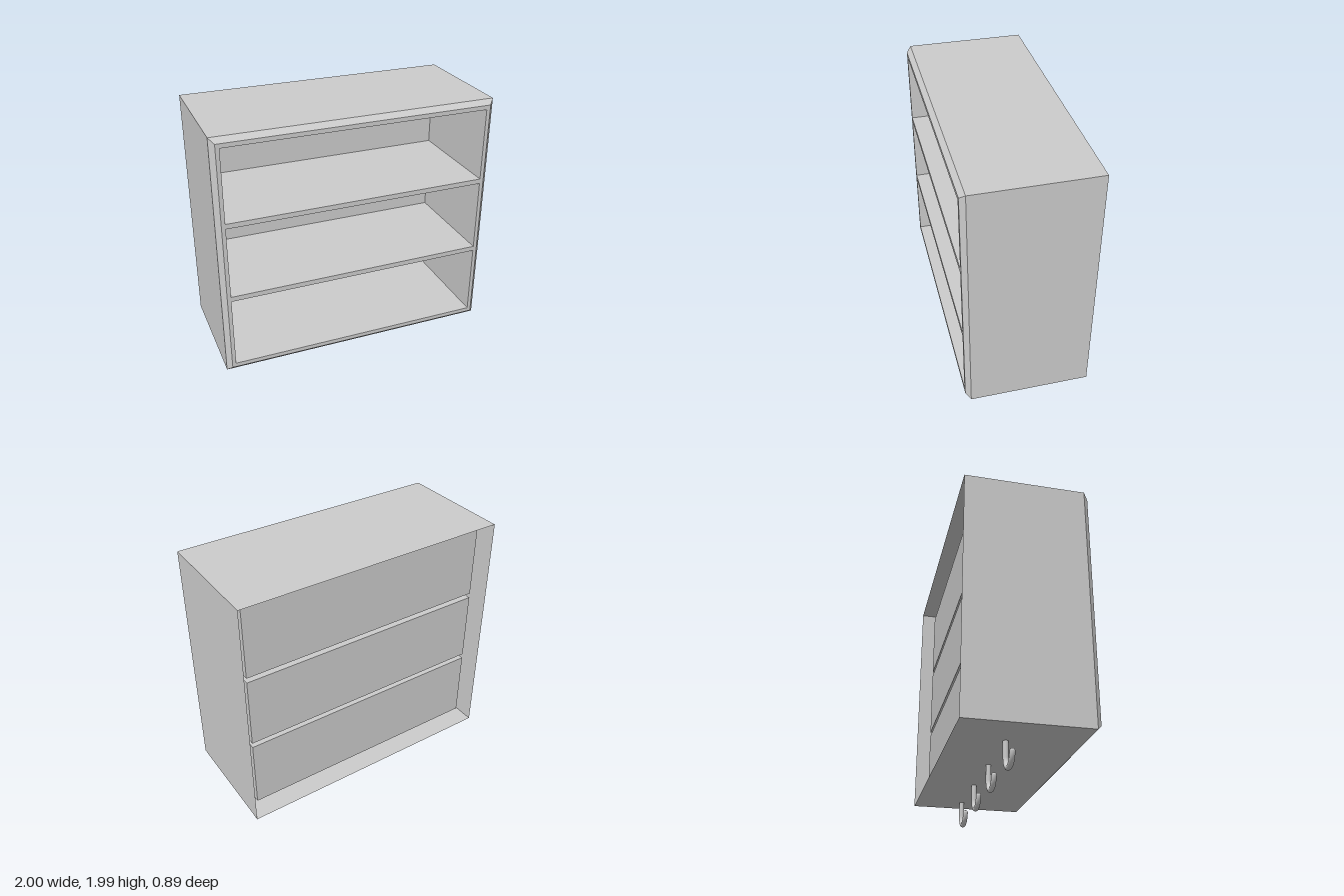
import * as THREE from 'three';

const grey = new THREE.MeshStandardMaterial({ color: 0xcccccc });
const thin = new THREE.MeshStandardMaterial({ color: 0xcccccc, side: THREE.DoubleSide });

const Y0 = 0.215, Y1 = 1.99;        // cabinet bottom and top
const BACK = -0.445, FRONT = 0.445; // cabinet depth
const BEVEL = 0.035;
const BAYS = [0.28, 0.84, 1.4];     // bottom of each compartment
const BAY_W = 0.938, BAY_H = 0.524, BAY_BACK = -0.345;

function add(parent, name, geometry, material) {
  const mesh = new THREE.Mesh(geometry, material);
  mesh.name = name;
  parent.add(mesh);
  return mesh;
}

// corners of a rectangular section, counter-clockwise from the front
function section(inset, z) {
  const x = 1 - inset, a = Y0 + inset, b = Y1 - inset;
  return [[-x, a, z], [x, a, z], [x, b, z], [-x, b, z]];
}

// flat-sided walls joining successive sections from back to front
function loft(sections) {
  const pos = [];
  for (let s = 0; s < sections.length - 1; s++) {
    for (let i = 0; i < 4; i++) {
      const j = (i + 1) % 4, p = sections[s], q = sections[s + 1];
      pos.push(...p[i], ...p[j], ...q[j], ...p[i], ...q[j], ...q[i]);
    }
  }
  const g = new THREE.BufferGeometry();
  g.setAttribute('position', new THREE.Float32BufferAttribute(pos, 3));
  g.computeVertexNormals();
  return g;
}

function rectangle(Type, x, a, b) {
  return new Type([[-x, a], [x, a], [x, b], [-x, b]].map(p => new THREE.Vector2(...p)));
}

// box without its front (+z) face
function openBox(w, h, d) {
  const g = new THREE.BoxGeometry(w, h, d);
  const index = Array.from(g.index.array);
  index.splice(24, 6);
  g.clearGroups();
  g.setIndex(index);
  return g;
}

function createHook() {
  const hook = new THREE.Group();
  hook.name = 'hook';
  const r = 0.086, tube = 0.0185, cy = r + tube, sweep = Math.PI * 0.955;
  const shank = add(hook, 'hookShank', new THREE.CylinderGeometry(tube, tube, Y0 - cy, 20, 1, true), grey);
  shank.position.set(r, (Y0 + cy) / 2, 0);
  const bend = add(hook, 'hookBend', new THREE.TorusGeometry(r, tube, 20, 40, sweep), grey);
  bend.rotation.z = -sweep;
  bend.position.y = cy;
  const tip = add(hook, 'hookTip', new THREE.SphereGeometry(tube, 20, 14), grey);
  tip.position.set(r * Math.cos(sweep), cy - r * Math.sin(sweep), 0);
  return hook;
}

export function createModel() {
  const model = new THREE.Group();
  model.name = 'wallShelf';

  // outer shell, open at the back, bevelled at the front
  add(model, 'cabinetShell', loft([
    section(0, BACK), section(0, FRONT - BEVEL), section(BEVEL, FRONT),
  ]), thin);

  // front frame with one opening per compartment
  const frame = rectangle(THREE.Shape, 1 - BEVEL, Y0 + BEVEL, Y1 - BEVEL);
  for (const y of BAYS) frame.holes.push(rectangle(THREE.Path, BAY_W, y, y + BAY_H));
  add(model, 'frontFrame', new THREE.ShapeGeometry(frame), thin).position.z = FRONT;

  // compartments set into the frame
  for (const y of BAYS) {
    const bay = add(model, 'compartment', openBox(2 * BAY_W, BAY_H, FRONT - BAY_BACK), thin);
    bay.position.set(0, y + BAY_H / 2, (FRONT + BAY_BACK) / 2);
  }

  // hooks under the cabinet
  for (let i = 0; i < 4; i++) {
    const hook = createHook();
    hook.position.set(-0.755 + i * 0.497, 0, -0.087);
    model.add(hook);
  }
  return model;
}
